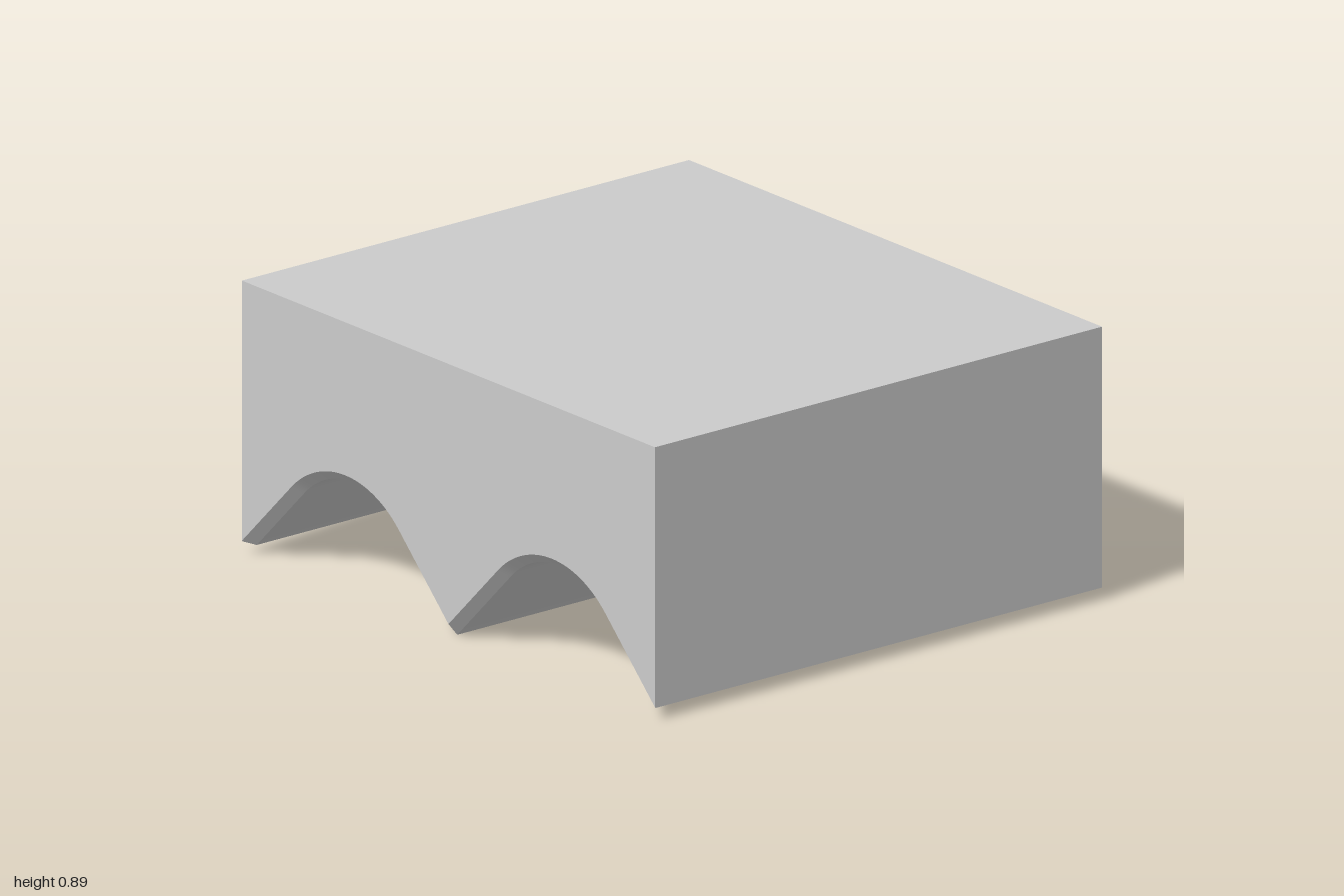
import * as THREE from 'three';
import { toCreasedNormals } from 'three/addons/utils/BufferGeometryUtils.js';

const TOP = 0.887, DEPTH = 0.885;      // block height and half depth
const CHAMFER = 0.03, CHAMFER_Z = 0.035;
const CENTRE_Y = 0.022, RADIUS = 0.338; // arch circle, tangent to 45 degree flanks
const CUT_Y = 0.04;                     // height of the trimmed outer feet
const SEGMENTS = 32;

// Underside outline, left to right, pushed up into the block by "inset"
function underside(inset) {
  const r = RADIUS + inset;
  const valley = Math.max(0, CENTRE_Y + r * Math.SQRT2 - 0.5);
  const u = Math.max(0, (CUT_Y - valley) / 1.4); // width of the trimmed foot
  const edgeY = Math.max(valley, CUT_Y);
  const pts = [[-1, edgeY], [-1 + u, valley + u]];
  for (const cx of [-0.5, 0.5]) {
    for (let i = 0; i <= SEGMENTS; i++) {
      const a = Math.PI * (0.75 - 0.5 * i / SEGMENTS);
      pts.push([cx + r * Math.cos(a), CENTRE_Y + r * Math.sin(a)]);
    }
    if (cx < 0) pts.push([0, valley]);
  }
  pts.push([1 - u, valley + u], [1, edgeY]);
  return pts;
}

function blockGeometry() {
  // Sections from back to front; the end ones open out into the chamfer
  const trimInset = (CUT_Y - (CENTRE_Y + RADIUS * Math.SQRT2 - 0.5)) / Math.SQRT2;
  const half = [0, trimInset, CHAMFER].map((d) => CHAMFER - d).map((d) => ({ d }));
  const insets = [CHAMFER, trimInset, 0];
  half.forEach((s, i) => {
    s.pts = underside(insets[i]);
    s.z = DEPTH - CHAMFER_Z * (1 - insets[i] / CHAMFER);
  });
  const sections = [
    ...half.map((s) => s.pts.map(([x, y]) => [x, y, -s.z])),
    ...half.slice().reverse().map((s) => s.pts.map(([x, y]) => [x, y, s.z])),
  ];

  const pos = [];
  const quad = (a, b, c, d) => pos.push(...a, ...b, ...c, ...a, ...c, ...d);
  const up = ([x, , z]) => [x, TOP, z];
  const n = sections[0].length - 1, last = sections.length - 1;

  // Vaulted underside and the two side walls
  for (let k = 0; k < last; k++) {
    const s = sections[k], t = sections[k + 1];
    for (let j = 0; j < n; j++) quad(s[j], s[j + 1], t[j + 1], t[j]);
    quad(s[n], up(s[n]), up(t[n]), t[n]);
    quad(t[0], up(t[0]), up(s[0]), s[0]);
  }
  // Front and back walls
  const back = sections[0], front = sections[last];
  for (let j = 0; j < n; j++) {
    quad(front[j], front[j + 1], up(front[j + 1]), up(front[j]));
    quad(back[j + 1], back[j], up(back[j]), up(back[j + 1]));
  }
  // Flat top
  quad(up(back[0]), up(front[0]), up(front[n]), up(back[n]));

  const geometry = new THREE.BufferGeometry();
  geometry.setAttribute('position', new THREE.Float32BufferAttribute(pos, 3));
  return toCreasedNormals(geometry, Math.PI / 7);
}

export function createModel() {
  const model = new THREE.Group();
  model.name = 'doubleArchBlock';
  const block = new THREE.Mesh(blockGeometry(), new THREE.MeshStandardMaterial({ color: 0xcccccc }));
  block.name = 'archedBlock';
  model.add(block);
  return model;
}
